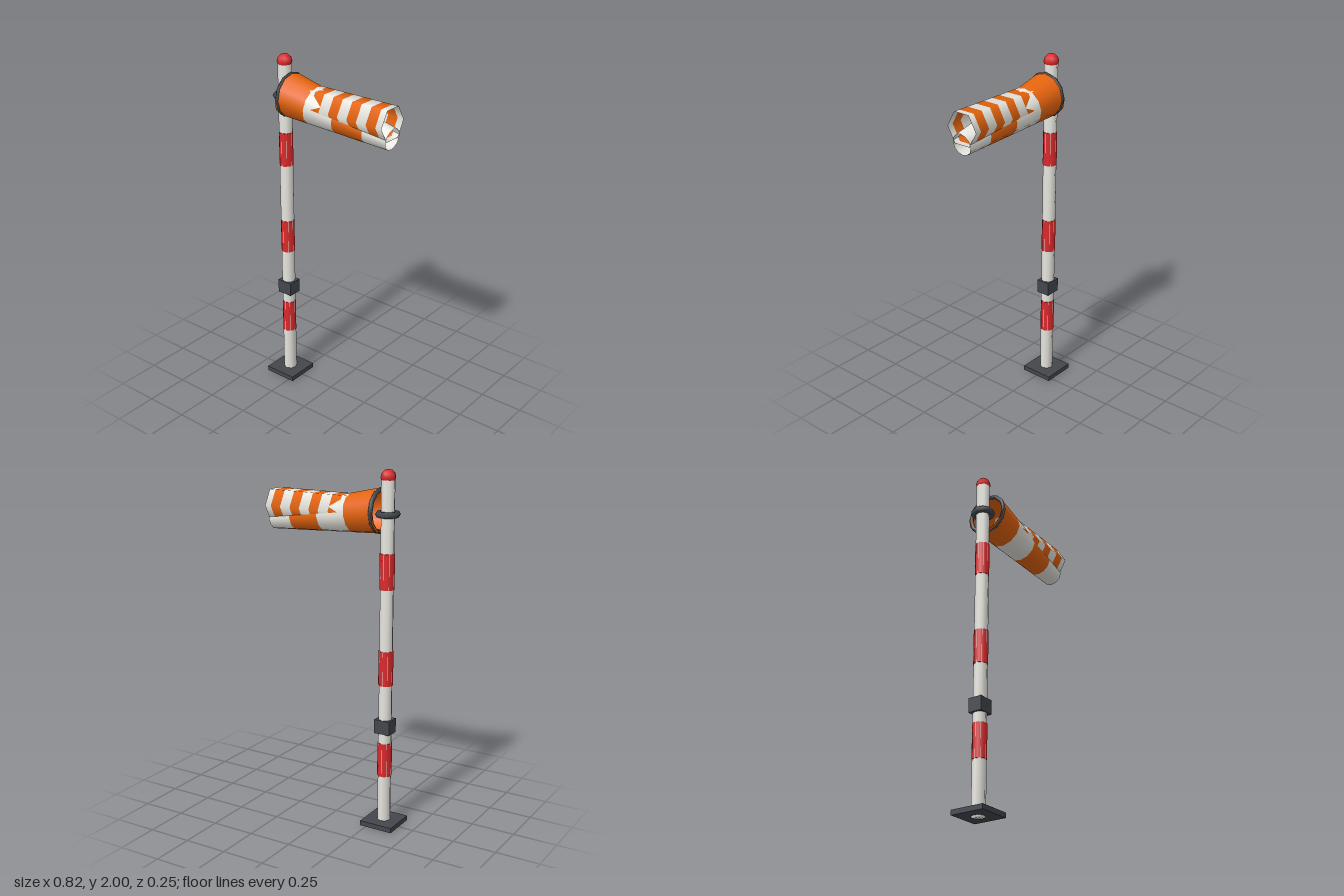
import * as THREE from 'three';
import { mergeVertices } from 'three/addons/utils/BufferGeometryUtils.js';

const mat = (name, color, side = THREE.FrontSide) => {
  const m = new THREE.MeshStandardMaterial({ color, side });
  m.name = name;
  return m;
};

export function createModel() {
  const model = new THREE.Group();
  const white = mat('white', 0xe8e7e0, THREE.DoubleSide);
  const orange = mat('orange', 0xe5640e, THREE.DoubleSide);
  const red = mat('red', 0xdc2a2c);
  const dark = mat('darkGrey', 0x43474d);
  const poleX = -0.315;

  const add = (name, geo, material, x, y, z = 0, parent = model) => {
    const mesh = new THREE.Mesh(geo, material);
    mesh.name = name;
    mesh.position.set(x, y, z);
    parent.add(mesh);
    return mesh;
  };

  // Smooth normals shared across every edge
  const soften = (geo) => {
    geo.deleteAttribute('uv');
    geo.deleteAttribute('normal');
    const merged = mergeVertices(geo);
    merged.computeVertexNormals();
    return merged;
  };

  // Open tube piece along x, from x0 to x1
  const tubePiece = (r0, r1, x0, x1, sides) =>
    new THREE.CylinderGeometry(r1, r0, x1 - x0, sides, 1, true)
      .rotateZ(-Math.PI / 2)
      .translate((x0 + x1) / 2, 0, 0);

  // Base, pole and its fittings
  add('basePlate', new THREE.BoxGeometry(0.195, 0.028, 0.195), dark, poleX, 0.016);
  add('pole', soften(new THREE.CylinderGeometry(0.038, 0.038, 1.95, 8)), white, poleX, 0.975);
  add('poleBox', new THREE.BoxGeometry(0.092, 0.08, 0.08), dark, poleX, 0.59);
  add('topLamp', new THREE.SphereGeometry(0.042, 8, 6), red, poleX, 1.958);
  add('poleCollar', new THREE.TorusGeometry(0.05, 0.018, 6, 10).rotateX(Math.PI / 2), dark, poleX, 1.765);

  // Painted red bands
  for (const y of [0.395, 0.925, 1.46]) {
    const band = new THREE.CylinderGeometry(0.0407, 0.0407, 0.195, 8).rotateY(Math.PI / 8);
    add('redBand', band, red, poleX, y);
  }

  // Hoop holding the mouth of the sock
  add('mouthHoop', new THREE.TorusGeometry(0.113, 0.012, 6, 12).rotateY(Math.PI / 2), dark, -0.272, 1.78);

  // Drooping tapered sock in four sections
  const sock = new THREE.Group();
  sock.name = 'taperedSock';
  sock.position.set(-0.283, 1.78, 0);
  sock.rotation.z = Math.atan2(-0.095, 0.681);
  model.add(sock);
  const length = 0.688;
  const cuts = [0, 0.262, 0.52, 0.79, 1];
  const radius = (t) => 0.121 - 0.061 * t;
  for (let i = 0; i < 4; i++) {
    const [a, b] = [cuts[i], cuts[i + 1]];
    add('sockSection', tubePiece(radius(a), radius(b), a * length, b * length, 12),
      i % 2 ? white : orange, 0, 0, 0, sock);
  }

  // Level six-sided striped sleeve
  const sleeve = new THREE.Group();
  sleeve.name = 'stripedSleeve';
  sleeve.position.y = 1.766;
  model.add(sleeve);
  const stripes = [-0.125, -0.065, -0.005, 0.057, 0.116, 0.177, 0.237, 0.299, 0.359, 0.397];
  for (let i = 0; i < stripes.length - 1; i++) {
    add('sleeveStripe', tubePiece(0.097, 0.097, stripes[i], stripes[i + 1], 6),
      i % 2 ? orange : white, 0, 0, 0, sleeve);
  }

  return model;
}
